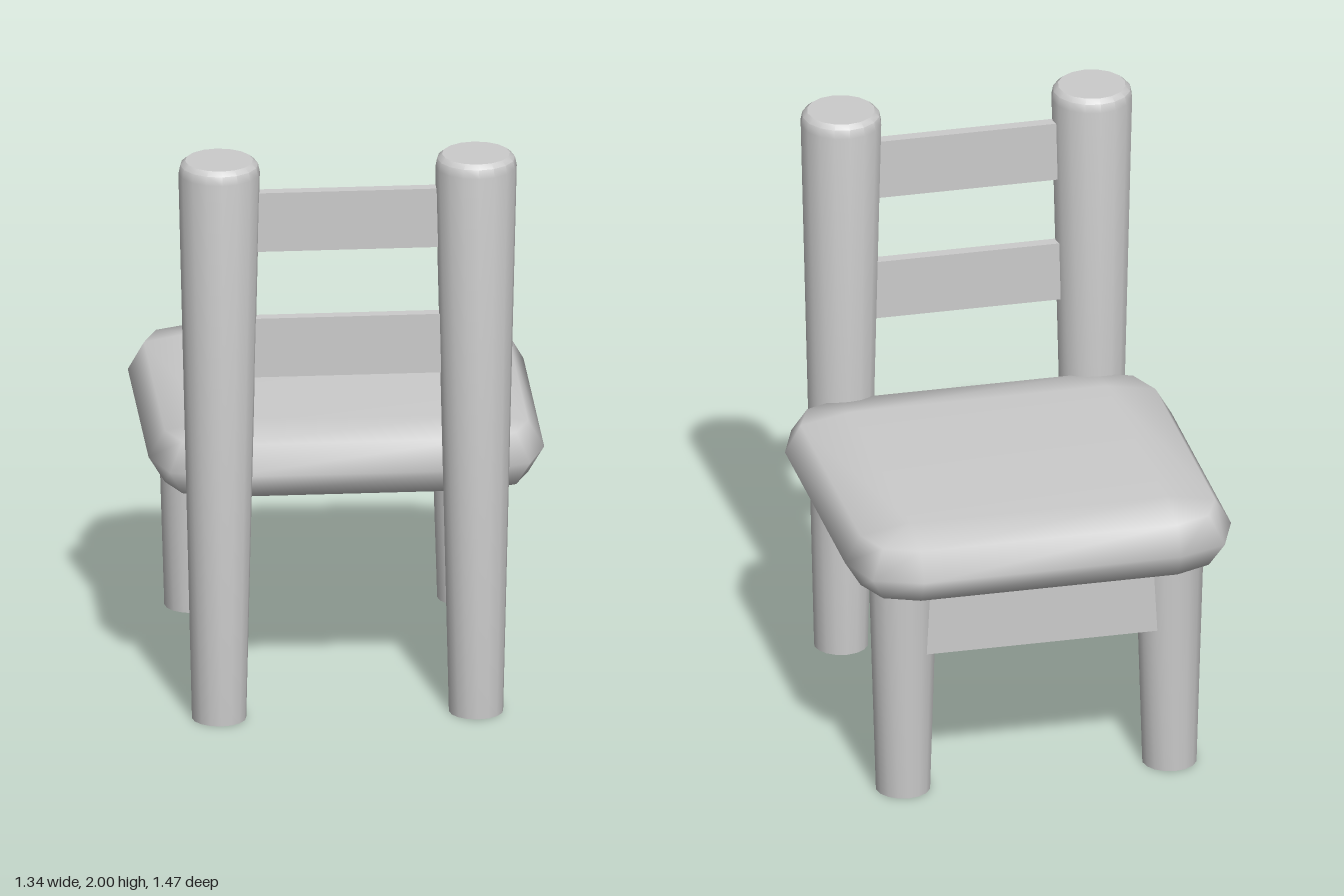
import * as THREE from 'three';
import { mergeVertices, toCreasedNormals } from 'three/addons/utils/BufferGeometryUtils.js';

const material = new THREE.MeshStandardMaterial({ color: 0xcccccc, side: THREE.DoubleSide });

function add(group, name, geometry, x, y, z) {
  const mesh = new THREE.Mesh(geometry, material);
  mesh.name = name;
  mesh.position.set(x, y, z);
  group.add(mesh);
}

// Round turned part from [radius, height] pairs, bottom to top
function turned(profile) {
  const points = profile.map(([r, y]) => new THREE.Vector2(r, y));
  return toCreasedNormals(new THREE.LatheGeometry(points, 16), 0.7);
}

// Cushion: stacked rounded-square rings, each with 12 corners
function cushionGeometry() {
  const inner = 0.445;
  // [height, half width, corner point]
  const rings = [
    [0.73, inner, inner],
    [0.765, 0.615, 0.565],
    [0.855, 0.67, 0.61],
    [0.95, 0.615, 0.565],
    [0.98, inner, inner],
  ];
  const positions = [];
  const index = [];
  for (const [y, half, corner] of rings) {
    for (let q = 0; q < 4; q++) {
      const c = Math.round(Math.cos(q * Math.PI / 2));
      const s = Math.round(Math.sin(q * Math.PI / 2));
      for (const [a, b] of [[half, inner], [corner, corner], [inner, half]]) {
        positions.push(a * c - b * s, y, (a * s + b * c) * 0.985);
      }
    }
  }
  for (let r = 0; r < rings.length - 1; r++) {
    for (let i = 0; i < 12; i++) {
      const a = r * 12 + i;
      const b = r * 12 + (i + 1) % 12;
      index.push(a, a + 12, b, b, a + 12, b + 12);
    }
  }
  // Flat top and underside
  const top = (rings.length - 1) * 12;
  index.push(top, top + 6, top + 3, top, top + 9, top + 6);
  index.push(0, 3, 6, 0, 6, 9);
  const geometry = new THREE.BufferGeometry();
  geometry.setAttribute('position', new THREE.Float32BufferAttribute(positions, 3));
  geometry.setIndex(index);
  const merged = mergeVertices(geometry, 1e-4);
  merged.computeVertexNormals();
  return merged;
}

export function createModel() {
  const chair = new THREE.Group();
  chair.name = 'chair';

  add(chair, 'seat', cushionGeometry(), 0, 0, -0.078);

  // Tall back posts with softened tops, and short tapered front legs
  const post = turned([[0, 0], [0.092, 0], [0.138, 1.955], [0.132, 1.985], [0.115, 2], [0, 2]]);
  const leg = turned([[0, 0], [0.093, 0], [0.117, 0.8], [0, 0.8]]);
  add(chair, 'leftBackPost', post, 0.42, 0, 0.597);
  add(chair, 'rightBackPost', post, -0.45, 0, 0.597);
  add(chair, 'leftFrontLeg', leg, 0.472, 0, -0.533);
  add(chair, 'rightFrontLeg', leg, -0.452, 0, -0.533);

  // Flat slats between the back posts
  const slat = new THREE.BoxGeometry(0.8, 0.21, 0.04);
  add(chair, 'upperBackSlat', slat, -0.015, 1.775, 0.587);
  add(chair, 'lowerBackSlat', slat, -0.015, 1.325, 0.587);

  // Aprons under the seat at the front and sides
  add(chair, 'frontApron', new THREE.BoxGeometry(0.9, 0.22, 0.04), 0.01, 0.64, -0.6);
  const sideApron = new THREE.BoxGeometry(0.04, 0.22, 1.08);
  add(chair, 'leftApron', sideApron, 0.445, 0.64, 0.03);
  add(chair, 'rightApron', sideApron, -0.475, 0.64, 0.03);

  return chair;
}
